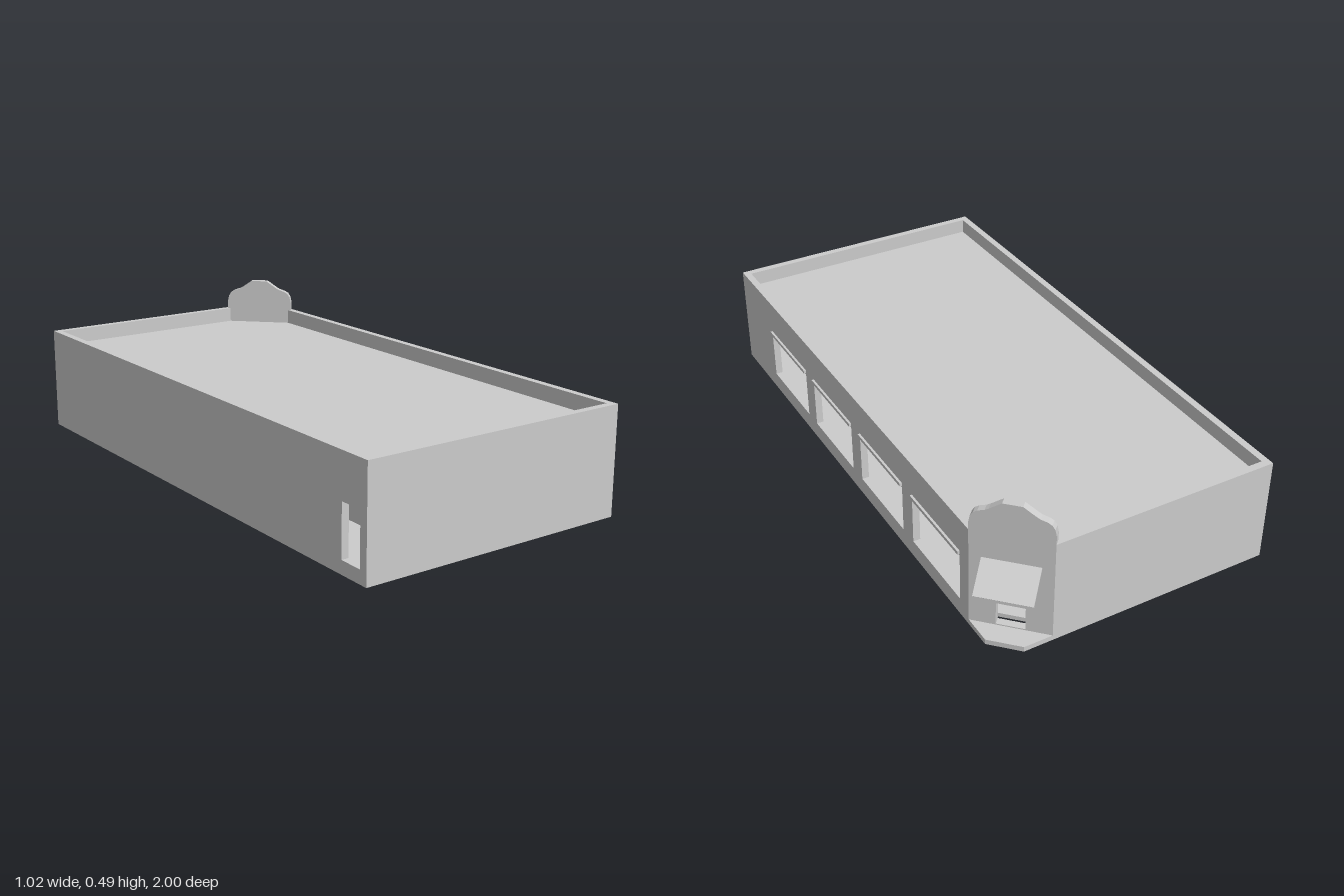
import * as THREE from 'three';

const grey = new THREE.MeshStandardMaterial({ color: 0xcccccc, flatShading: true, side: THREE.DoubleSide });
const H = 0.37, T = 0.025;

// Plan corners: a long hall with one corner cut off at 45 degrees
const corners = [[0.465, 1], [0.465, -0.77], [0.28, -0.955], [-0.51, -0.955], [-0.51, 1]];

function add(parent, name, geometry, x = 0, y = 0, z = 0) {
  const mesh = new THREE.Mesh(geometry, grey);
  mesh.name = name;
  mesh.position.set(x, y, z);
  parent.add(mesh);
  return mesh;
}

function outline(points) {
  return new THREE.Shape(points.map(([x, y]) => new THREE.Vector2(x, y)));
}

function rect(u0, u1, y0, y1) {
  return outline([[u0, y0], [u1, y0], [u1, y1], [u0, y1]]);
}

// Upright slab whose outer face runs from a to b in plan; holes are [u0, u1, y0, y1]
function wall(parent, name, a, b, holes = [], profile = null) {
  const dx = b[0] - a[0], dz = b[1] - a[1];
  const shape = profile || rect(0, Math.hypot(dx, dz), 0, H);
  holes.forEach((h) => shape.holes.push(rect(...h)));
  const geometry = new THREE.ExtrudeGeometry(shape, { depth: T, bevelEnabled: false });
  geometry.translate(0, 0, -T);
  const mesh = add(parent, name, geometry, a[0], 0, a[1]);
  mesh.rotation.y = Math.atan2(-dz, dx);
  return mesh;
}

// Horizontal slab from plan points [x, z], between two heights
function slab(parent, name, points, y0, y1) {
  const geometry = new THREE.ExtrudeGeometry(outline(points.map(([x, z]) => [x, -z])), { depth: y1 - y0, bevelEnabled: false });
  geometry.rotateX(-Math.PI / 2);
  return add(parent, name, geometry, 0, y0, 0);
}

export function createModel() {
  const model = new THREE.Group();
  model.name = 'shopBuilding';
  const [c0, c1, c2, c3, c4] = corners;

  // Outer walls, with four shop windows and a rear door
  const windows = [0, 1, 2, 3].map((i) => 0.27 + i * 0.379);
  wall(model, 'windowWall', c0, c1, windows.map((u) => [u, u + 0.31, 0.06, 0.232]));
  wall(model, 'backWall', c2, c3);
  wall(model, 'leftWall', c3, c4, [[1.84, 1.925, 0.045, 0.22]]);
  wall(model, 'frontWall', c4, c0);

  // Thin ledge above each window
  for (const u of windows) {
    add(model, 'windowLedge', new THREE.BoxGeometry(0.012, 0.012, 0.31), 0.467, 0.244, 1 - u - 0.155);
  }

  // Floor and sunken roof deck, both inside the walls
  const inside = [[0.445, 0.98], [0.445, -0.757], [0.267, -0.935], [-0.49, -0.935], [-0.49, 0.98]];
  slab(model, 'floor', inside, 0.03, 0.045);
  slab(model, 'roofDeck', inside, 0.302, 0.317);

  // Inner partition with a doorway
  const partition = new THREE.ExtrudeGeometry((() => {
    const s = rect(-0.98, 0.935, 0.045, 0.302);
    s.holes.push(rect(-0.165, -0.04, 0.047, 0.215));
    return s;
  })(), { depth: 0.015, bevelEnabled: false });
  add(model, 'partition', partition, -0.3).rotation.y = Math.PI / 2;

  // Entrance panel across the cut corner, with a stepped arch top
  const half = Math.hypot(c2[0] - c1[0], c2[1] - c1[1]) / 2;
  const side = [[half, 0], [half, 0.4], [0.126, 0.423], [0.117, 0.437], [0.104, 0.445], [0.082, 0.452], [0.07, 0.459], [0.031, 0.486]];
  const arch = side.concat(side.map(([u, y]) => [-u, y]).reverse()).map(([u, y]) => [u + half, y]);
  wall(model, 'entrancePanel', c1, c2, [[half - 0.046, half + 0.046, 0.022, 0.19]], outline(arch));

  // Sloping canopy over the entrance
  const entrance = new THREE.Group();
  entrance.name = 'entranceCanopy';
  entrance.position.set(0.3725, 0, -0.8625);
  entrance.rotation.y = Math.PI * 0.75;
  const run = 0.097, drop = 0.068;
  const sheet = add(entrance, 'canopySheet', new THREE.BoxGeometry(0.184, 0.005, Math.hypot(run, drop)), 0, 0.24, run / 2);
  sheet.rotation.x = Math.atan2(drop, run);
  add(entrance, 'canopyEdge', new THREE.BoxGeometry(0.184, 0.01, 0.004), 0, 0.202, run - 0.001);
  model.add(entrance);

  // Doorstep filling the cut corner
  slab(model, 'doorstep', [c1, [0.465, -0.87], [0.38, -0.955], c2], 0, 0.018);
  return model;
}
